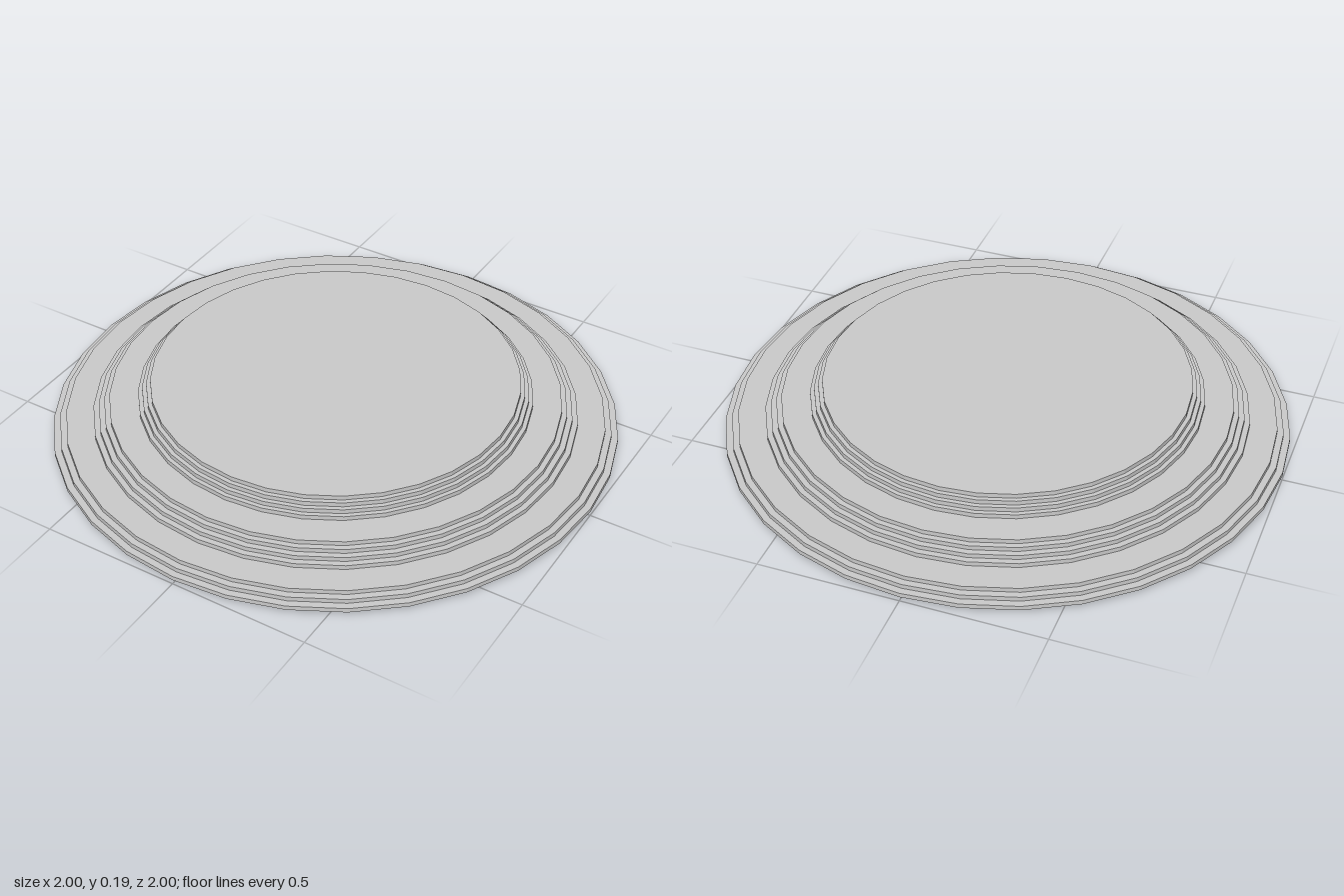
import * as THREE from 'three';

export function createModel() {
  const group = new THREE.Group();
  const material = new THREE.MeshStandardMaterial({ color: 0xcccccc, flatShading: true });
  const layer = 0.195 / 12; // height of one thin step

  // Three tiers, each a stack of four thin discs, listed from the ground up
  const tiers = [
    ['lowerTier', [0.95, 1, 0.976, 0.953]],
    ['middleTier', [0.856, 0.836, 0.816, 0.797]],
    ['upperTier', [0.695, 0.68, 0.665, 0.65]],
  ];

  tiers.forEach(([name, radii], t) => {
    // Stepped profile, closed on the axis at both ends
    const profile = [new THREE.Vector2(0, 0)];
    radii.forEach((r, i) => {
      profile.push(new THREE.Vector2(r, i * layer), new THREE.Vector2(r, (i + 1) * layer));
    });
    profile.push(new THREE.Vector2(0, radii.length * layer));

    const mesh = new THREE.Mesh(new THREE.LatheGeometry(profile, 32), material);
    mesh.name = name;
    mesh.position.y = t * radii.length * layer;
    group.add(mesh);
  });

  return group;
}
